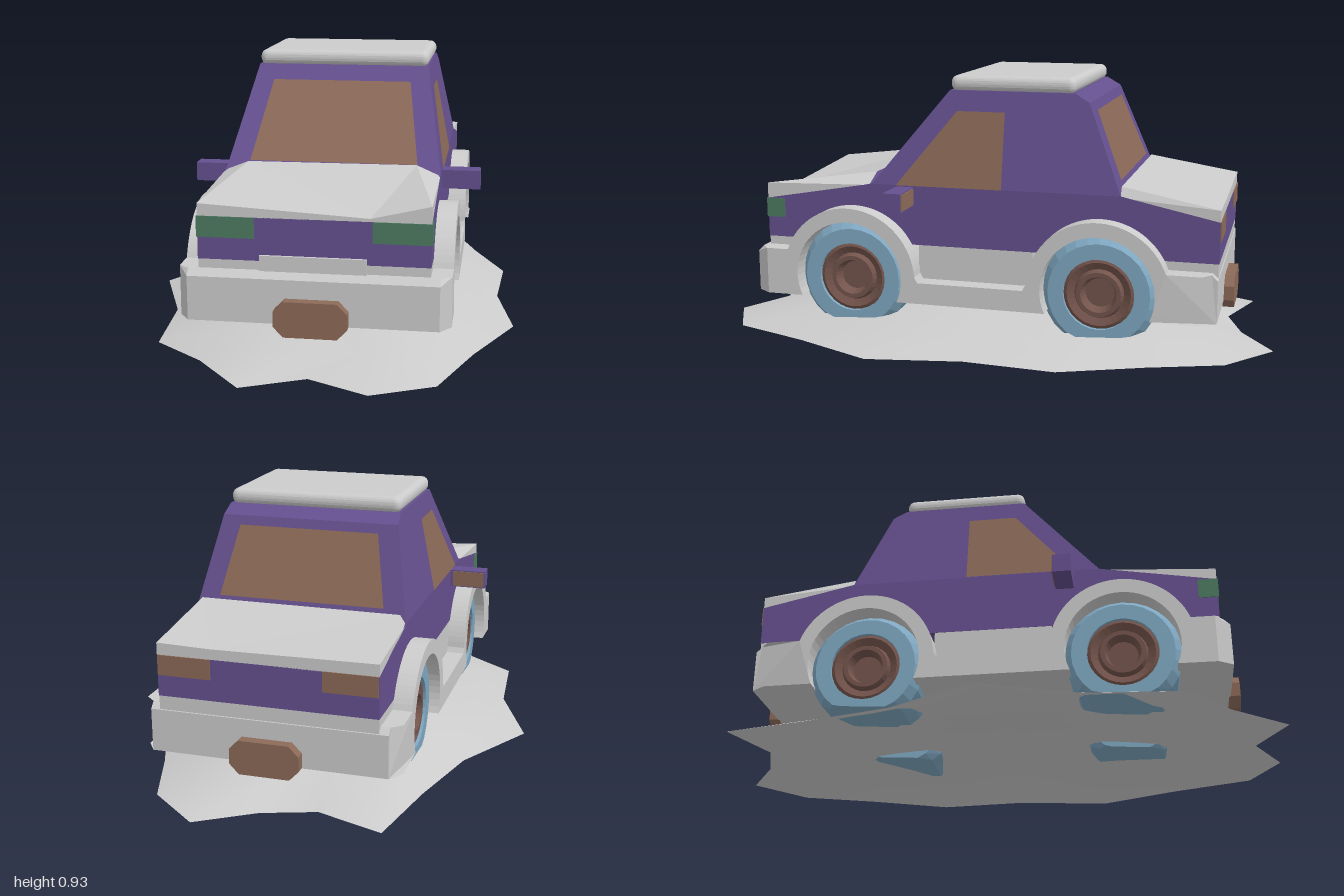
import * as THREE from 'three';
import { RoundedBoxGeometry } from 'three/addons/geometries/RoundedBoxGeometry.js';

const mat = (color, opts = {}) => new THREE.MeshStandardMaterial({ color, flatShading: true, ...opts });
const GREY = mat(0xcccccc);
const GREY_SHEET = mat(0xcccccc, { side: THREE.DoubleSide });
const PURPLE = mat(0x65508f);
const BROWN = mat(0x8c6a58, { side: THREE.DoubleSide });
const GREEN = mat(0x4c7a60);
const BLUE = mat(0x7fa8c2);
const RUST = mat(0x74544c);
const WHEEL_Z = [0.46, -0.425], AXLE_Y = 0.225, PI = Math.PI;

export function createModel() {
  const root = new THREE.Group();
  const car = new THREE.Group();
  car.name = 'car';
  car.position.x = 0.04;
  root.add(car);

  const add = (name, geo, material, parent = car) => {
    const m = new THREE.Mesh(geo, material);
    m.name = name;
    parent.add(m);
    return m;
  };
  const box = (name, x, y, z, material) => // each axis as [min, max]
    add(name, new THREE.BoxGeometry(x[1] - x[0], y[1] - y[0], z[1] - z[0]), material)
      .position.set((x[0] + x[1]) / 2, (y[0] + y[1]) / 2, (z[0] + z[1]) / 2);
  // side profile (z, y) extruded across the car
  const across = (shape, half) =>
    new THREE.ExtrudeGeometry(shape, { depth: half * 2, bevelEnabled: false, curveSegments: 16 })
      .translate(0, 0, -half).rotateY(-PI / 2);
  const warp = (geo, fn) => {
    const p = geo.attributes.position, v = new THREE.Vector3();
    for (let i = 0; i < p.count; i++) {
      fn(v.fromBufferAttribute(p, i));
      p.setXYZ(i, v.x, v.y, v.z);
    }
    geo.computeVertexNormals();
    return geo;
  };
  // flat panel from a list of corners, fanned into triangles
  const faces = (points, tris) => {
    const g = new THREE.BufferGeometry();
    g.setAttribute('position', new THREE.Float32BufferAttribute(points.flat(), 3));
    g.setIndex(tris.flat());
    g.computeVertexNormals();
    return g;
  };
  const quad = (...pts) => faces(pts, [[0, 1, 2], [0, 2, 3]]);

  // lower body with wheel cutouts
  const body = new THREE.Shape();
  body.moveTo(0.79, 0.34);
  [[0.79, 0.48], [0.39, 0.55], [-0.49, 0.55], [-0.82, 0.48], [-0.82, 0.34]].forEach(p => body.lineTo(...p));
  for (const z of [...WHEEL_Z].reverse()) body.absarc(z, AXLE_Y, 0.2, PI - 0.613, 0.613, true);
  add('lowerBody', across(body, 0.37), PURPLE);

  // tapered cabin
  const halfAt = y => 0.37 - 0.065 * (y - 0.55) / 0.33;
  const frontAt = y => 0.39 - 0.27 * (y - 0.55) / 0.33;
  const rearAt = y => -0.49 + 0.12 * (y - 0.55) / 0.3;
  const cabin = new THREE.Shape([[0.39, 0.55], [0.12, 0.88], [-0.32, 0.88], [-0.37, 0.85], [-0.49, 0.55]]
    .map(p => new THREE.Vector2(...p)));
  add('cabin', warp(across(cabin, 1), v => { v.x *= halfAt(v.y); }), PURPLE);
  add('roof', new RoundedBoxGeometry(0.61, 0.055, 0.44, 3, 0.025), GREY).position.set(0, 0.903, -0.1);

  // windows
  const e = 0.004;
  add('windscreen', quad([-0.29, 0.575, frontAt(0.575) + e], [0.29, 0.575, frontAt(0.575) + e],
    [0.245, 0.83, frontAt(0.83) + e], [-0.245, 0.83, frontAt(0.83) + e]), BROWN);
  add('rearWindow', quad([0.29, 0.59, rearAt(0.59) - e], [-0.29, 0.59, rearAt(0.59) - e],
    [-0.245, 0.82, rearAt(0.82) - e], [0.245, 0.82, rearAt(0.82) - e]), BROWN);
  for (const s of [1, -1]) {
    add('sideWindow', quad(...[[0.55, 0.3], [0.55, -0.08], [0.81, -0.08], [0.81, 0.09]]
      .map(([y, z]) => [s * (halfAt(y) + e), y, z])), BROWN);
  }

  // creased lids: outer edge (left, crease, right), inner edge, side ends
  const lid = (name, zo, zi, outerY, inner) => {
    const pts = [
      [-0.37, outerY[0], zo], [0.18, outerY[1], zo], [0.37, outerY[2], zo],
      [inner[0], 0.577, zi], [inner[1], 0.58, zi],
      [-0.37, 0.545, zi], [0.37, 0.545, zi],
      [-0.37, 0.478, zo], [0.18, 0.478, zo], [0.37, 0.478, zo],
    ];
    add(name, faces(pts, [[0, 1, 3], [1, 4, 3], [1, 2, 4], [0, 3, 5], [2, 6, 4],
      [0, 7, 1], [7, 8, 1], [1, 8, 2], [8, 9, 2], [0, 5, 7], [2, 9, 6]]), GREY_SHEET);
  };
  lid('hood', 0.79, 0.4, [0.52, 0.49, 0.535], [-0.29, 0.29]);
  lid('trunkLid', -0.82, -0.49, [0.52, 0.515, 0.52], [-0.35, 0.35]);

  // bumpers, wheel arches and side steps in one skirt
  const skirt = new THREE.Shape();
  skirt.moveTo(0.77, 0.145);
  [[0.82, 0.145], [0.82, 0.29], [0.8, 0.31], [0.77, 0.31]].forEach(p => skirt.lineTo(...p));
  skirt.absarc(WHEEL_Z[0], AXLE_Y, 0.245, 0.354, PI - 0.06, false);
  skirt.lineTo(0.205, 0.22);
  skirt.lineTo(-0.17, 0.22);
  skirt.absarc(WHEEL_Z[1], AXLE_Y, 0.245, 0.06, PI - 0.354, false);
  [[-0.77, 0.31], [-0.8, 0.31], [-0.82, 0.29], [-0.82, 0.145], [-0.77, 0.145]].forEach(p => skirt.lineTo(...p));
  for (const z of [...WHEEL_Z].reverse()) skirt.absarc(z, AXLE_Y, 0.195, PI + 0.42, -0.42, true);
  add('skirt', warp(across(skirt, 0.435), v => {
    if (Math.abs(v.z) > 0.78) v.x = Math.sign(v.x) * 0.4;
  }), GREY);
  box('sill', [-0.369, 0.369], [0.2, 0.342], [-0.19, 0.22], GREY);
  box('frontValance', [-0.369, 0.369], [0.29, 0.342], [0.67, 0.788], GREY);
  box('rearValance', [-0.369, 0.369], [0.29, 0.342], [-0.818, -0.64], GREY);
  box('underbody', [-0.17, 0.17], [0.148, 0.36], [-0.8, 0.8], GREY);

  // lamps, mirrors
  for (const s of [1, -1]) {
    const span = (a, b) => (s > 0 ? [a, b] : [-b, -a]);
    box('headlight', span(0.187, 0.373), [0.412, 0.48], [0.725, 0.794], GREEN);
    box('tailLight', span(0.187, 0.368), [0.412, 0.48], [-0.824, -0.8], BROWN);
    box('mirror', span(0.36, 0.502), [0.48, 0.545], [0.237, 0.3], PURPLE);
    box('mirrorGlass', span(0.38, 0.498), [0.484, 0.541], [0.233, 0.238], BROWN);
  }

  // octagonal plates
  const plate = new THREE.Shape([[0.117, 0.025], [0.085, 0.058], [-0.085, 0.058], [-0.117, 0.025],
    [-0.117, -0.025], [-0.085, -0.058], [0.085, -0.058], [0.117, -0.025]].map(p => new THREE.Vector2(...p)));
  for (const z of [0.815, -0.855]) {
    add('plate', new THREE.ExtrudeGeometry(plate, { depth: 0.04, bevelEnabled: false }), BROWN)
      .position.set(0, 0.172, z);
  }

  // wheels, tyres flattened underneath
  const lathe = pts => new THREE.LatheGeometry(pts.map(p => new THREE.Vector2(...p)), 28);
  for (const z of WHEEL_Z) for (const s of [1, -1]) {
    const wheel = new THREE.Group();
    wheel.name = 'wheel';
    wheel.position.set(s * 0.285, 0.215, z);
    car.add(wheel);
    const tyre = lathe([[0, -0.115], [0.16, -0.115], [0.195, -0.09], [0.2, 0.08], [0.175, 0.115],
      [0.122, 0.115], [0.12, 0.07]]).rotateZ(-s * PI / 2);
    add('tyre', warp(tyre, v => { v.y = Math.max(v.y, -0.143 - 0.05 * s * v.x - 0.012 * v.z / 0.2); }), BLUE, wheel);
    add('hub', lathe([[0.125, 0.07], [0.125, 0.1], [0.11, 0.108], [0.085, 0.095], [0.077, 0.115],
      [0.062, 0.115], [0.05, 0.08], [0.0001, 0.08]]).rotateZ(-s * PI / 2), RUST, wheel);
  }

  // domed ground patch with a ragged rim
  const rim = [[0.235, -1], [0.42, -0.85], [0.51, -0.6], [0.63, -0.32], [0.61, 0], [0.67, 0.33], [0.54, 0.62],
    [0.44, 0.9], [0.24, 1], [0.04, 0.9], [-0.16, 1], [-0.33, 0.8], [-0.51, 0.66], [-0.54, 0.33], [-0.67, 0],
    [-0.5, -0.3], [-0.42, -0.6], [-0.36, -0.9], [-0.13, -0.82], [0.05, -0.88]];
  const n = rim.length, rings = 5, pts = [[0, 0.13, 0]], tris = [];
  for (let r = 1; r <= rings; r++) {
    const t = r / rings;
    rim.forEach(([x, z]) => pts.push([x * t, 0.13 * (1 - t * t), z * t]));
    for (let i = 0; i < n; i++) {
      const a = 1 + (r - 1) * n + i, b = 1 + (r - 1) * n + (i + 1) % n;
      if (r === 1) tris.push([0, b, a]);
      else tris.push([a - n, b - n, b], [a - n, b, a]);
    }
  }
  add('ground', faces(pts, tris), mat(0xcccccc, { flatShading: false, side: THREE.DoubleSide }), root);
  return root;
}
